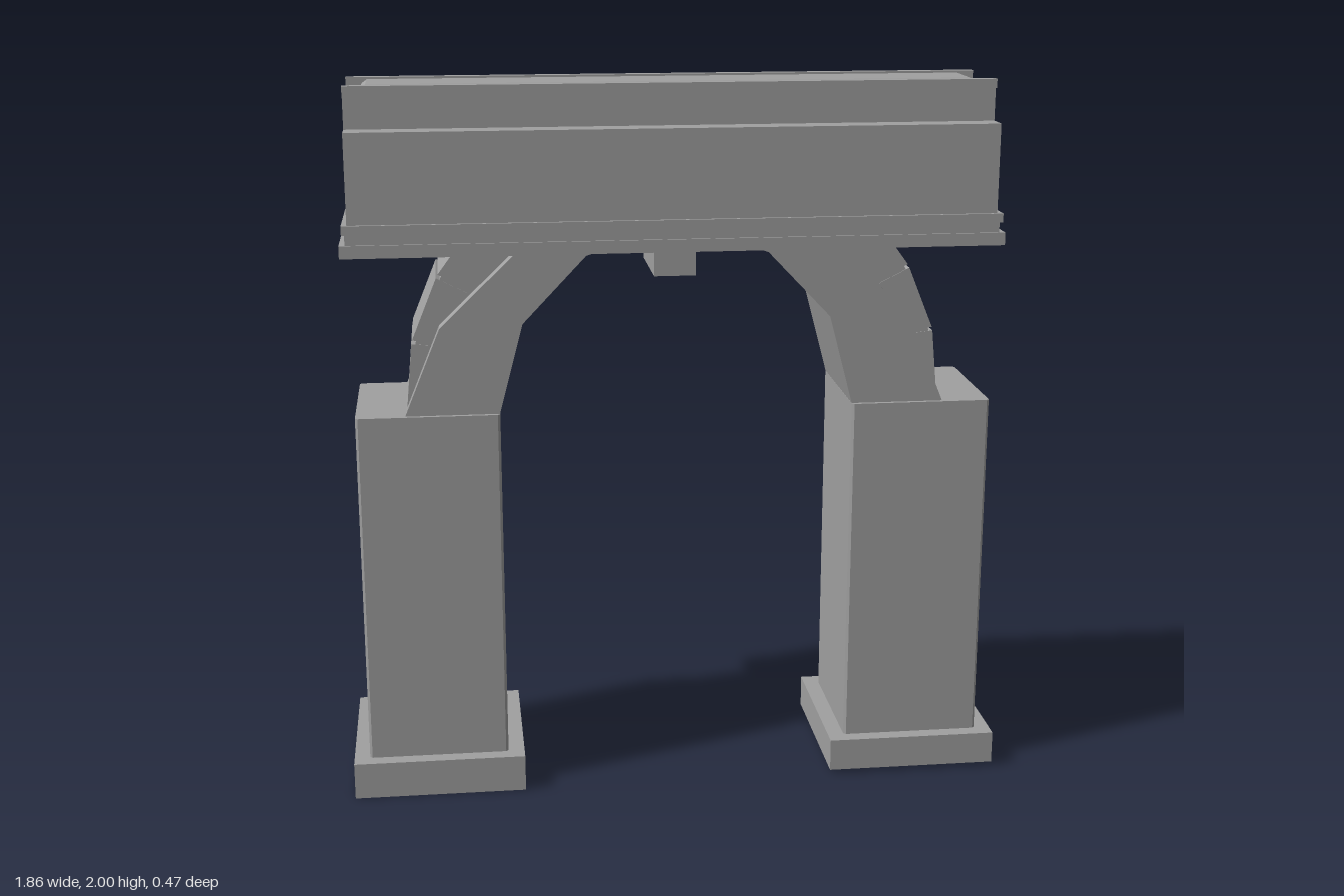
import * as THREE from 'three';

const stone = new THREE.MeshStandardMaterial({ color: 0xa0a0a0 });
stone.name = 'grey stone';

function add(parent, name, geometry) {
  const mesh = new THREE.Mesh(geometry, stone);
  mesh.name = name;
  parent.add(mesh);
  return mesh;
}

// Box given by its limits on each axis
function block(parent, name, x0, x1, y0, y1, z0, z1) {
  const mesh = add(parent, name, new THREE.BoxGeometry(x1 - x0, y1 - y0, z1 - z0));
  mesh.position.set((x0 + x1) / 2, (y0 + y1) / 2, (z0 + z1) / 2);
  return mesh;
}

// Straight prism of a 2D outline, centred along its depth
function prism(points, depth) {
  const shape = new THREE.Shape(points.map(([x, y]) => new THREE.Vector2(x, y)));
  const geometry = new THREE.ExtrudeGeometry(shape, { depth, bevelEnabled: false });
  return geometry.translate(0, 0, -depth / 2);
}

// Pillar, foot and arch bracket for one side (s = +1 or -1)
function createLeg(s) {
  const leg = new THREE.Group();
  leg.name = s > 0 ? 'leftLeg' : 'rightLeg';
  const flip = (points) => points.map(([x, y]) => [x * s, y]);

  // Pillar with slightly chamfered corners
  const w = 0.1975, c = 0.007;
  const pillar = prism([
    [-w + c, -w], [w - c, -w], [w, -w + c], [w, w - c],
    [w - c, w], [-w + c, w], [-w, w - c], [-w, -w + c],
  ], 1.11);
  pillar.rotateX(-Math.PI / 2).translate(s * 0.6885, 0.555, 0.002);
  add(leg, 'pillar', pillar);

  // Foot block
  const foot = block(leg, 'foot', 0.445, 0.93, s > 0 ? 0.012 : 0, 0.105, -0.235, 0.24);
  foot.position.x *= s;

  // Full-depth bent bracket
  add(leg, 'archBracket', prism(flip([
    [0.493, 1.105], [0.752, 1.105], [0.65, 1.353], [0.43, 1.565],
    [0.19, 1.565], [0.25, 1.544], [0.425, 1.36],
  ]), 0.376));

  // Narrower wedge blocks on the outer side, split by thin joints
  const wedges = [
    [[0.745, 1.115], [0.727, 1.302], [0.67, 1.296], [0.645, 1.34]],
    [[0.725, 1.312], [0.655, 1.483], [0.57, 1.44], [0.63, 1.35], [0.67, 1.306]],
    [[0.65, 1.493], [0.597, 1.565], [0.43, 1.565], [0.56, 1.448]],
  ];
  for (const wedge of wedges) add(leg, 'archWedge', prism(flip(wedge), 0.284));
  // Core behind the joints
  add(leg, 'archWedgeCore', prism(flip([
    [0.74, 1.12], [0.716, 1.304], [0.642, 1.485], [0.585, 1.565], [0.43, 1.565], [0.64, 1.35],
  ]), 0.28));
  return leg;
}

export function createModel() {
  const model = new THREE.Group();
  model.name = 'archway';
  for (const s of [1, -1]) model.add(createLeg(s));

  // Lintel: one stepped section with raised lips along the top
  const lintel = prism([
    [-0.195, 1.556], [0.195, 1.556], [0.195, 1.885], [0.126, 1.885], [0.126, 1.975],
    [0.138, 1.975], [0.138, 2], [0.112, 2], [0.112, 1.978],
    [-0.112, 1.978], [-0.112, 2], [-0.138, 2], [-0.138, 1.975],
    [-0.126, 1.975], [-0.126, 1.885], [-0.195, 1.885],
  ], 1.77);
  add(model, 'lintel', lintel.rotateY(Math.PI / 2));

  // Mouldings around the foot of the lintel
  block(model, 'lowerMoulding', -0.908, 0.908, 1.552, 1.587, -0.204, 0.204);
  block(model, 'middleMoulding', -0.892, 0.892, 1.587, 1.615, -0.198, 0.198);
  block(model, 'upperMoulding', -0.9, 0.9, 1.615, 1.64, -0.204, 0.204);

  // Raised panel on top with a sloped border
  const x = 0.825, z = 0.073;
  const panelShape = new THREE.Shape([[-x, -z], [x, -z], [x, z], [-x, z]]
    .map((p) => new THREE.Vector2(...p)));
  const panel = new THREE.ExtrudeGeometry(panelShape, {
    depth: 0.004, bevelSize: 0.015, bevelThickness: 0.012, bevelSegments: 1,
  });
  add(model, 'topPanel', panel.rotateX(-Math.PI / 2).translate(0, 1.982, 0));

  // Keystone under the lintel
  block(model, 'keystone', -0.06, 0.056, 1.475, 1.56, -0.143, 0.143);
  return model;
}
